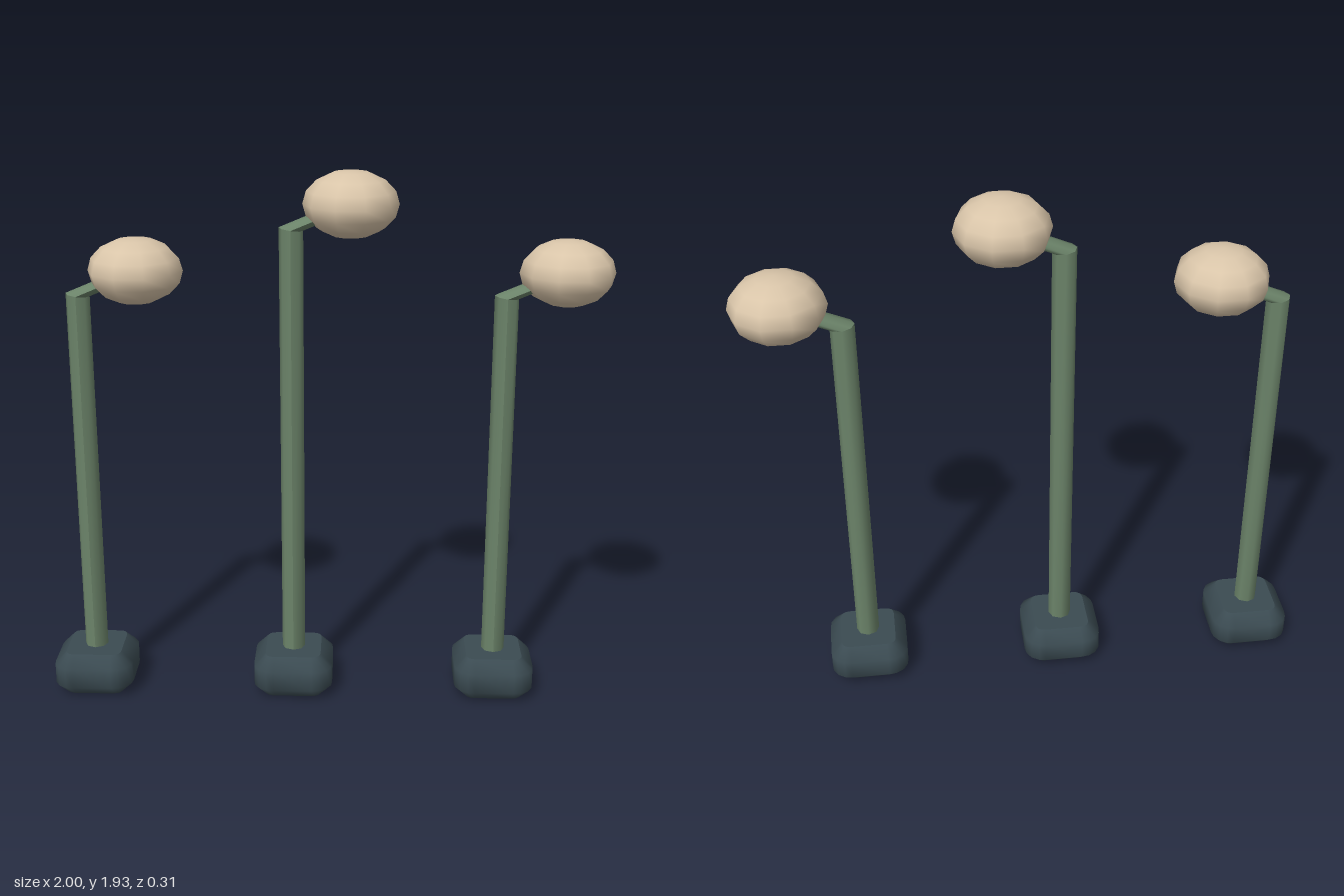
import * as THREE from 'three';
import { mergeVertices, mergeGeometries } from 'three/addons/utils/BufferGeometryUtils.js';

// Rounded block with one bevel: flat caps, softly shaded sides
function baseGeometry() {
  const w = 0.102, r = 0.035, bevel = 0.043;
  const s = new THREE.Shape();
  s.moveTo(-w + r, -w);
  s.lineTo(w - r, -w).quadraticCurveTo(w, -w, w, -w + r);
  s.lineTo(w, w - r).quadraticCurveTo(w, w, w - r, w);
  s.lineTo(-w + r, w).quadraticCurveTo(-w, w, -w, w - r);
  s.lineTo(-w, -w + r).quadraticCurveTo(-w, -w, -w + r, -w);
  const g = new THREE.ExtrudeGeometry(s, {
    depth: 0.074, bevelEnabled: true, bevelSize: bevel, bevelThickness: bevel,
    bevelSegments: 1, curveSegments: 4,
  });
  g.rotateX(-Math.PI / 2).translate(0, bevel, 0);
  const pos = g.attributes.position.array;
  const [caps, sides] = g.groups.map(({ start, count }) => {
    const part = new THREE.BufferGeometry();
    part.setAttribute('position', new THREE.BufferAttribute(pos.slice(start * 3, (start + count) * 3), 3));
    const welded = mergeVertices(part, 1e-5);
    welded.computeVertexNormals();
    return welded;
  });
  return mergeGeometries([caps, sides]);
}

// Open tube whose end rings stay level; the upper ring is shifted sideways
function tubeGeometry(y0, y1, dx, tilt0, tilt1) {
  const g = new THREE.CylinderGeometry(0.042, 0.042, 1, 8, 1, true);
  const p = g.attributes.position;
  for (let i = 0; i < p.count; i++) {
    const x = p.getX(i), top = p.getY(i) > 0;
    p.setXY(i, x + (top ? dx : 0), top ? y1 + x * tilt1 : y0 + x * tilt0);
  }
  g.computeVertexNormals();
  return g;
}

export function createModel() {
  const model = new THREE.Group();
  const slate = new THREE.MeshStandardMaterial({ name: 'slate', color: 0x3b4b52 });
  const green = new THREE.MeshStandardMaterial({ name: 'sageGreen', color: 0x6b8369 });
  const cream = new THREE.MeshStandardMaterial({ name: 'cream', color: 0xd9c5a9 });
  const base = baseGeometry();
  const head = new THREE.SphereGeometry(0.165, 10, 8).scale(1, 0.7, 1);

  const add = (group, name, geometry, material) => {
    const mesh = new THREE.Mesh(geometry, material);
    mesh.name = name;
    group.add(mesh);
    return mesh;
  };

  // Three posts, the middle one taller
  [[-0.855, 1.498], [-0.113, 1.73], [0.63, 1.498]].forEach(([x, elbow], i) => {
    const post = new THREE.Group();
    post.name = ['rightPost', 'middlePost', 'leftPost'][i];
    post.position.x = x;
    add(post, 'base', base, slate);
    add(post, 'pole', tubeGeometry(0.1, elbow, 0, 0, -0.14), green);
    add(post, 'arm', tubeGeometry(elbow, elbow + 0.085, 0.203, -0.14, -0.14), green);
    add(post, 'head', head, cream).position.set(0.204, elbow + 0.086, 0);
    model.add(post);
  });
  return model;
}
